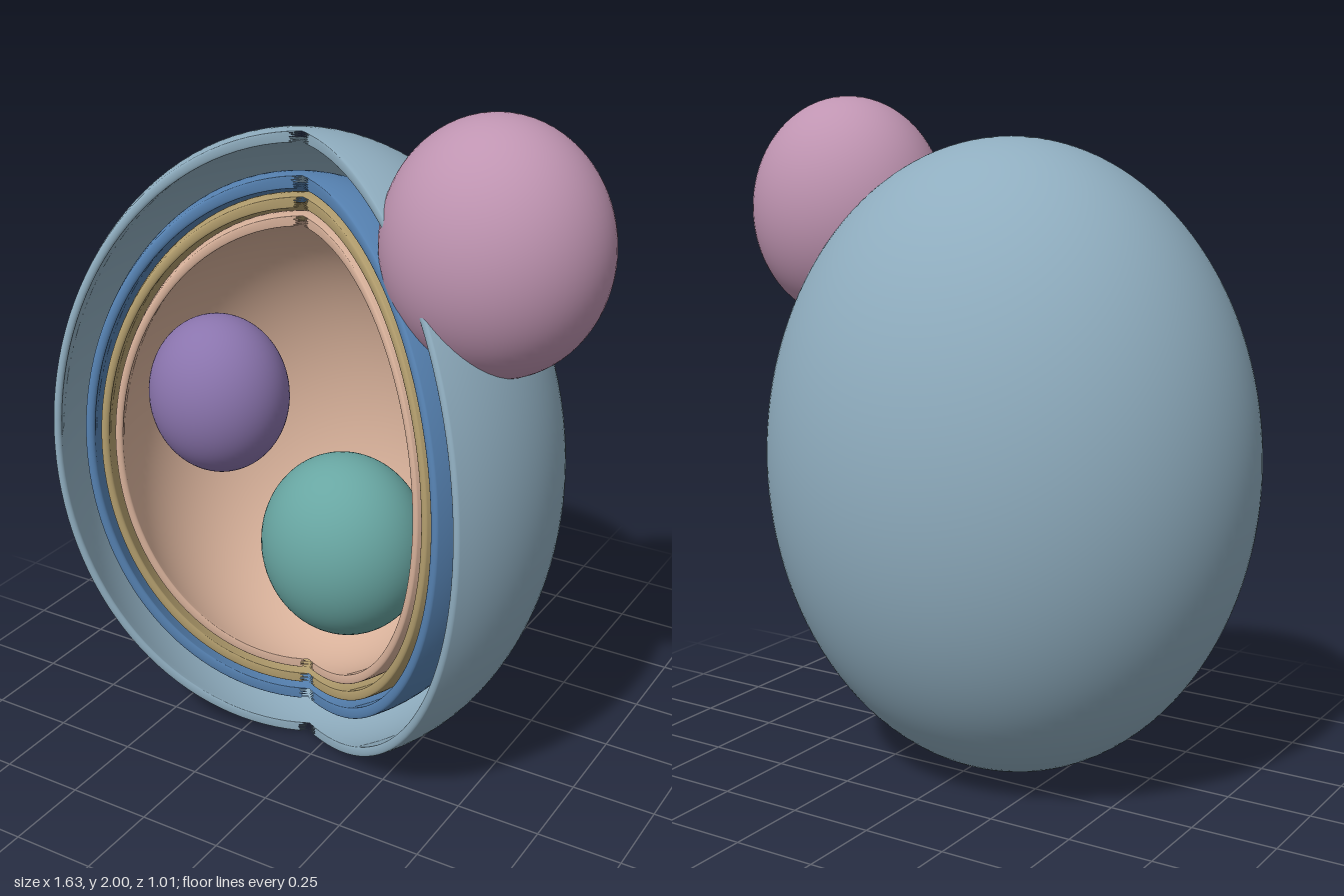
import * as THREE from 'three';

const CENTRE = new THREE.Vector3(-0.066, 0.945, 0.15);
const RADII = new THREE.Vector3(0.75, 0.94, 0.655);
const CUT_START = Math.PI * 5 / 6; // the open wedge faces the front
const CUT_END = Math.PI * 13 / 6;

const paint = (name, color) => {
  const m = new THREE.MeshStandardMaterial({ color });
  m.name = name;
  return m;
};

// Closed loop of [scale, angle]: outer wall, rounded lip, inner wall, rounded lip
function shellLoop(outer, inner) {
  const loop = [], walls = 80, lip = 8;
  const half = (outer - inner) / 2, mid = (outer + inner) / 2;
  const a0 = CUT_START + half, a1 = CUT_END - half;
  for (let i = 0; i <= walls; i++) loop.push([outer, a0 + (a1 - a0) * i / walls]);
  for (let i = 1; i < lip; i++) {
    const t = Math.PI * i / lip;
    loop.push([mid + half * Math.cos(t), a1 + half * Math.sin(t)]);
  }
  for (let i = 0; i <= walls; i++) loop.push([inner, a1 + (a0 - a1) * i / walls]);
  for (let i = 1; i < lip; i++) {
    const t = Math.PI * i / lip;
    loop.push([mid - half * Math.cos(t), a0 - half * Math.sin(t)]);
  }
  return loop;
}

// Thick ellipsoid shell with a wedge removed, swept from pole to pole
function shellGeometry(outer, inner) {
  const loop = shellLoop(outer, inner), n = loop.length, rows = 64;
  const positions = [], indices = [];
  for (let i = 0; i <= rows; i++) {
    const polar = Math.PI * i / rows;
    const ring = Math.sin(polar);
    for (const [s, a] of loop) {
      positions.push(
        s * RADII.x * ring * Math.cos(a),
        s * RADII.y * Math.cos(polar),
        s * RADII.z * ring * Math.sin(a));
    }
  }
  for (let i = 0; i < rows; i++) {
    for (let j = 0; j < n; j++) {
      const k = (j + 1) % n;
      const a = i * n + j, b = i * n + k, c = a + n, d = b + n;
      if (i > 0) indices.push(a, b, c);
      if (i < rows - 1) indices.push(b, d, c);
    }
  }
  const g = new THREE.BufferGeometry();
  g.setAttribute('position', new THREE.Float32BufferAttribute(positions, 3));
  g.setIndex(indices);
  g.computeVertexNormals();
  return g;
}

export function createModel() {
  const model = new THREE.Group();
  model.name = 'layeredCell';

  // Nested shells: name, outer scale, inner scale, material
  const shells = [
    ['outerShell', 1.0, 0.968, paint('greyBlue', 0x8fadbf)],
    ['secondShell', 0.872, 0.835, paint('blue', 0x5682b2)],
    ['thirdShell', 0.81, 0.778, paint('sand', 0xb39e6e)],
    ['innerShell', 0.754, 0.724, paint('peach', 0xd9b29b)],
  ];
  for (const [name, outer, inner, material] of shells) {
    const mesh = new THREE.Mesh(shellGeometry(outer, inner), material);
    mesh.name = name;
    mesh.position.copy(CENTRE);
    model.add(mesh);
  }

  // Egg-like bodies: name, centre, radii, material
  const bodies = [
    ['outerBud', [0.51, 1.66, 0.153], [0.306, 0.34, 0.276], paint('pink', 0xbf94b1)],
    ['leftBody', [-0.291, 1.127, 0.248], [0.204, 0.23, 0.187], paint('purple', 0x8a74ad)],
    ['rightBody', [0.145, 0.783, 0.29], [0.238, 0.262, 0.214], paint('teal', 0x68a6a2)],
  ];
  for (const [name, centre, radii, material] of bodies) {
    const mesh = new THREE.Mesh(new THREE.SphereGeometry(1, 64, 40), material);
    mesh.name = name;
    mesh.position.set(...centre);
    mesh.scale.set(...radii);
    model.add(mesh);
  }
  return model;
}
